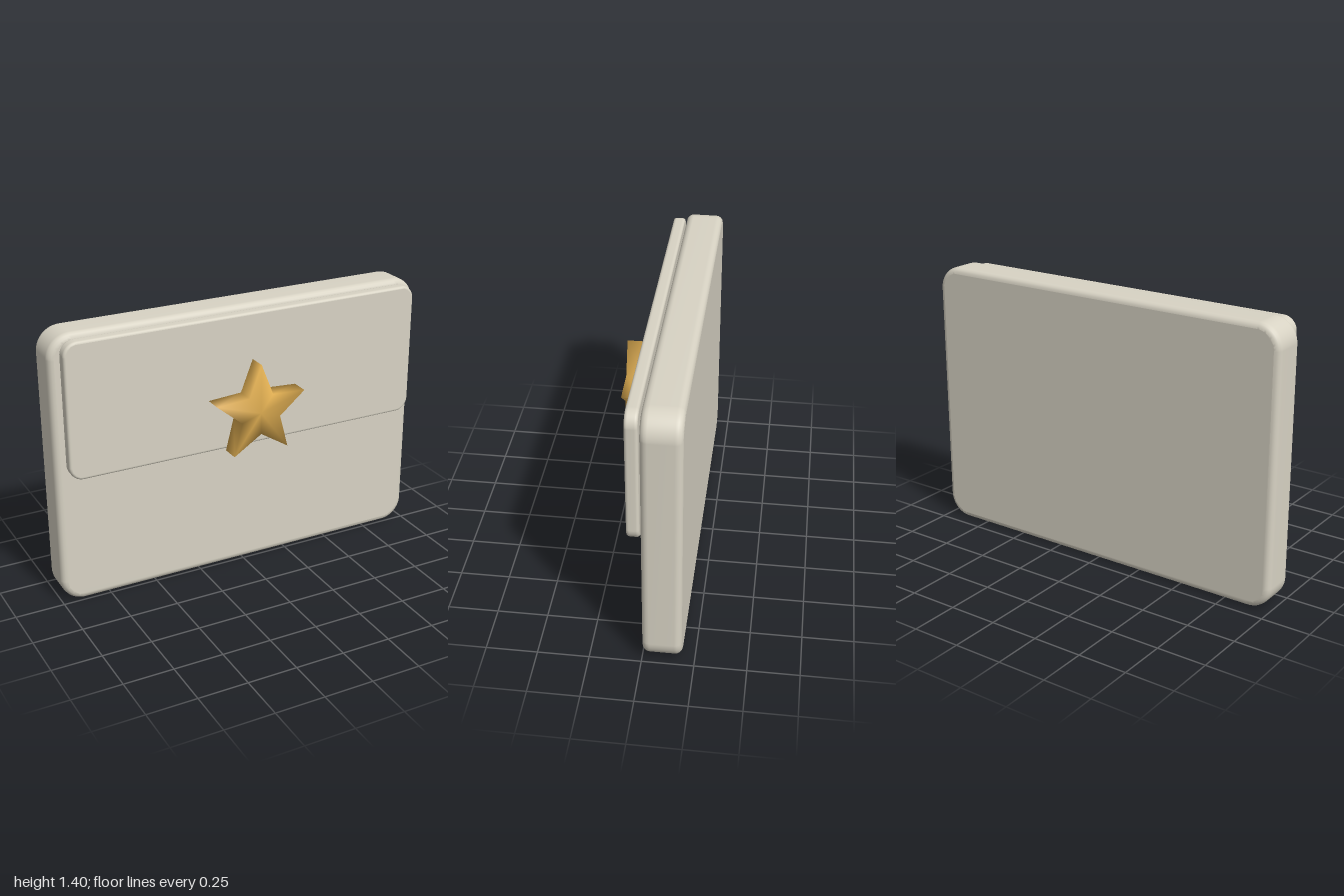
import * as THREE from 'three';
import { mergeVertices } from 'three/addons/utils/BufferGeometryUtils.js';

// Share vertices so shading flows across every edge
function smooth(geometry) {
  geometry.deleteAttribute('normal');
  geometry.deleteAttribute('uv');
  geometry.clearGroups();
  const merged = mergeVertices(geometry, 1e-4);
  merged.computeVertexNormals();
  return merged;
}

// Rounded slab, centred on its origin, with softened front and back edges
function slab(width, height, depth, radius, bevelSize, bevelDepth) {
  const x = width / 2 - bevelSize, y = height / 2 - bevelSize, r = radius - bevelSize;
  const shape = new THREE.Shape();
  shape.absarc(x - r, y - r, r, 0, Math.PI / 2);
  shape.absarc(-x + r, y - r, r, Math.PI / 2, Math.PI);
  shape.absarc(-x + r, -y + r, r, Math.PI, Math.PI * 1.5);
  shape.absarc(x - r, -y + r, r, Math.PI * 1.5, Math.PI * 2);
  const geometry = new THREE.ExtrudeGeometry(shape, {
    depth: depth - 2 * bevelDepth, curveSegments: 8,
    bevelEnabled: true, bevelSize, bevelThickness: bevelDepth, bevelSegments: 4,
  });
  geometry.translate(0, 0, bevelDepth - depth / 2);
  return smooth(geometry);
}

// Five-pointed star: a ten-sided disc with every other corner pulled in
function star(outer, inner, depth) {
  const geometry = new THREE.CylinderGeometry(1, 1, depth, 10, 1);
  geometry.rotateX(Math.PI / 2);
  const p = geometry.attributes.position;
  for (let i = 0; i < p.count; i++) {
    const x = p.getX(i), y = p.getY(i);
    if (Math.hypot(x, y) < 0.5) continue;
    const corner = Math.round(Math.atan2(x, y) / (Math.PI / 5));
    const r = corner % 2 === 0 ? outer : inner;
    p.setXY(i, x * r, y * r);
  }
  return smooth(geometry);
}

export function createModel() {
  const cream = new THREE.MeshStandardMaterial({ color: 0xd8d3c4 });
  cream.name = 'cream';
  const gold = new THREE.MeshStandardMaterial({ color: 0xdcab50 });
  gold.name = 'gold';

  const model = new THREE.Group();
  model.name = 'clutchBag';
  const add = (name, geometry, material, y, z) => {
    const mesh = new THREE.Mesh(geometry, material);
    mesh.name = name;
    mesh.position.set(0, y, z);
    model.add(mesh);
  };

  add('body', slab(2, 1.4, 0.187, 0.12, 0.03, 0.035), cream, 0.7, -0.096);
  add('flap', slab(1.9, 0.69, 0.06, 0.07, 0.012, 0.015), cream, 1.036, 0.038);
  add('starClasp', star(0.252, 0.11, 0.092), gold, 0.903, 0.145);
  return model;
}
